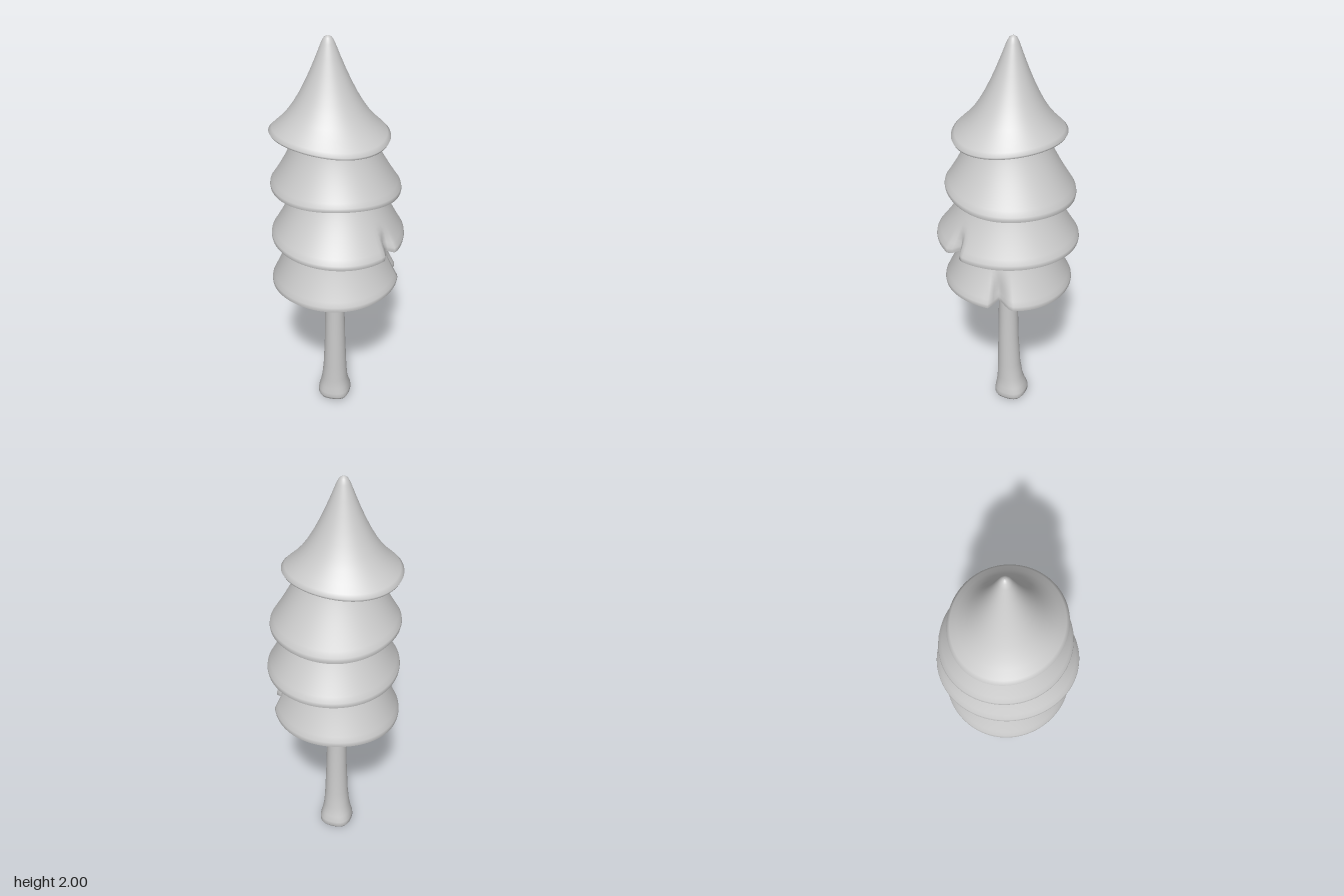
import * as THREE from 'three';
import { mergeGeometries } from 'three/addons/utils/BufferGeometryUtils.js';

const material = new THREE.MeshStandardMaterial({ color: 0xcccccc, side: THREE.DoubleSide });
const lerp = THREE.MathUtils.lerp;

// Smooth skin through closed rings; point(row, angle) gives [x, y, z], angle 0 faces +z
function skin(rows, sides, point) {
  const position = [], index = [];
  for (let i = 0; i < rows; i++) {
    for (let j = 0; j < sides; j++) position.push(...point(i, (j / sides) * Math.PI * 2));
  }
  for (let i = 0; i < rows - 1; i++) {
    for (let j = 0; j < sides; j++) {
      const k = (j + 1) % sides;
      const a = i * sides + j, b = i * sides + k;
      index.push(a, a + sides, b + sides, a, b + sides, b);
    }
  }
  const geometry = new THREE.BufferGeometry();
  geometry.setAttribute('position', new THREE.Float32BufferAttribute(position, 3));
  geometry.setIndex(index);
  geometry.computeVertexNormals();
  return geometry;
}

// Fold in the skirt: steep on one side, easing out on the other; 0..1
function foldAt(angle, fold) {
  if (!fold) return 0;
  const d = Math.atan2(Math.sin(angle - fold.angle), Math.cos(angle - fold.angle));
  const s = d < 0 ? 1 + d / fold.steep : 1 - d / fold.ease;
  return THREE.MathUtils.smoothstep(s, 0, 1);
}

// One skirt of branches: flared outer surface, thin lip and hollowed underside
function tier(name, { rim, top, profile, lobe = 0, tilt, fold, inner }) {
  const point = (t, flare, angle) => {
    const s = Math.sin(angle), c = Math.cos(angle);
    const notch = foldAt(angle, fold) * (fold ? THREE.MathUtils.smoothstep(t, fold.start, 1) : 0);
    const r = lerp(top.r, rim.r, flare) + lobe * Math.sin(2 * angle) * flare - notch * (fold ? fold.depth : 0);
    const squash = lerp(1, rim.rz / rim.r, flare);
    const wave = tilt[0] * s + tilt[1] * c + tilt[2] * Math.cos(2 * angle) + tilt[3] * Math.sin(3 * angle);
    return [
      lerp(top.x, rim.x, flare) + r * s,
      lerp(top.y, rim.y, t) + wave * t * t + notch * 0.015,
      lerp(top.z, rim.z, flare) + r * squash * c,
    ];
  };
  const outer = skin(profile.length, 96, (i, a) => point(profile[i][0], profile[i][1], a));
  // Underside rings: lip, then inward and upward
  const under = [[1, 0], [0.96, 0.002], [0.85, 0.015], [0.7, 0.024], [inner, 0.03]];
  const below = skin(under.length, 96, (i, a) => {
    const p = point(1, profile[profile.length - 1][1], a);
    const [k, rise] = under[i];
    return [rim.x + (p[0] - rim.x) * k, p[1] + rise, rim.z + (p[2] - rim.z) * k];
  });
  const mesh = new THREE.Mesh(mergeGeometries([outer, below]), material);
  mesh.name = name;
  return mesh;
}

// Flared skirt profile: [drop, flare] with a small rounded lip
const skirt = [];
for (let i = 0; i <= 12; i++) skirt.push([i / 13, Math.pow(i / 12, 1.35)]);
skirt.push([0.965, 1.015], [1, 1]);

// Pointed crown profile, from the tip down
const crown = [[0, 0], [0.004, 0.03], [0.02, 0.07], [0.07, 0.115], [0.2, 0.2], [0.33, 0.29], [0.45, 0.38],
  [0.57, 0.48], [0.68, 0.585], [0.78, 0.7], [0.87, 0.83], [0.94, 0.95], [0.975, 1.005], [1, 0.985]];

export function createModel() {
  const tree = new THREE.Group();
  tree.name = 'pineTree';

  tree.add(tier('crownTier', {
    rim: { x: -0.03, y: 1.55, z: -0.027, r: 0.258, rz: 0.275 },
    top: { x: -0.025, y: 2, z: -0.04, r: 0 },
    profile: crown, lobe: 0.008, tilt: [-0.005, -0.003, -0.011, 0], inner: 0.55,
  }));
  tree.add(tier('upperTier', {
    rim: { x: -0.003, y: 1.285, z: -0.015, r: 0.302, rz: 0.304 },
    top: { x: -0.02, y: 1.58, z: -0.01, r: 0.172 },
    profile: skirt, tilt: [-0.02, 0.01, 0, -0.006], inner: 0.55,
  }));
  tree.add(tier('middleTier', {
    rim: { x: -0.003, y: 1.035, z: 0, r: 0.326, rz: 0.327 },
    top: { x: 0.005, y: 1.34, z: -0.005, r: 0.19 },
    profile: skirt, lobe: -0.012, tilt: [-0.004, 0, -0.004, 0], inner: 0.55,
    fold: { angle: 0.13, steep: 0.1, ease: 0.16, depth: 0.055, start: 0.55 },
  }));
  tree.add(tier('lowerTier', {
    rim: { x: -0.013, y: 0.78, z: -0.01, r: 0.305, rz: 0.31 },
    top: { x: -0.015, y: 1.08, z: -0.005, r: 0.205 },
    profile: skirt, tilt: [0.002, 0.01, 0, 0.004], inner: 0.1,
    fold: { angle: 0.84, steep: 0.1, ease: 0.28, depth: 0.06, start: 0.3 },
  }));

  // Trunk rings: [y, x, z, radius], top to rounded foot
  const rings = [[0.86, -0.015, -0.01, 0.048], [0.6, -0.015, -0.01, 0.049], [0.4, -0.014, -0.01, 0.053],
    [0.22, -0.012, -0.013, 0.06], [0.13, -0.01, -0.018, 0.067], [0.08, -0.007, -0.022, 0.077],
    [0.05, -0.005, -0.024, 0.086], [0.025, -0.005, -0.024, 0.087], [0.01, -0.006, -0.022, 0.079],
    [0.002, -0.007, -0.02, 0.06], [0, -0.007, -0.02, 0]];
  const trunk = new THREE.Mesh(skin(rings.length, 32, (i, a) => {
    const [y, x, z, r] = rings[i];
    // Soft root lobes fade in toward the foot
    const k = r * (1 + 0.05 * Math.max(0, 1 - y / 0.15) * Math.cos(4 * a + 0.6));
    return [x + k * Math.sin(a), y, z + k * Math.cos(a)];
  }), material);
  trunk.name = 'trunk';
  tree.add(trunk);

  return tree;
}
